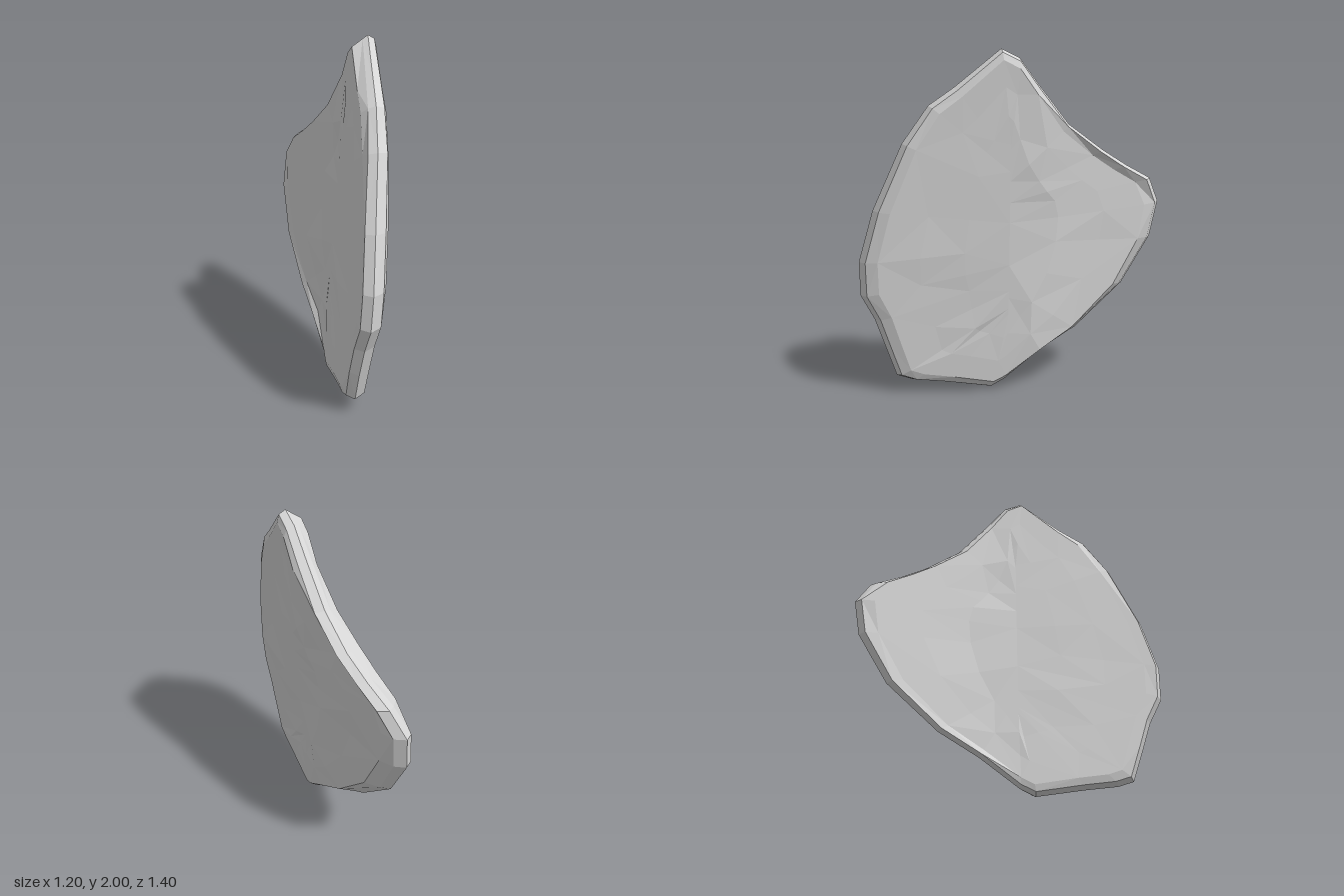
import * as THREE from 'three';

// Slab outline, clockwise seen from the front: along, height, front depth, back depth
const OUTLINE = [
  [0.10, 2.00, -0.16, -0.25], [0.345, 1.79, -0.11, -0.22], [0.48, 1.69, -0.08, -0.20],
  [0.62, 1.48, -0.04, -0.18], [0.78, 1.10, 0.02, -0.13], [0.86, 0.80, 0.05, -0.10],
  [0.855, 0.60, 0.06, -0.09], [0.78, 0.45, 0.07, -0.08], [0.725, 0.28, 0.08, -0.07],
  [0.665, 0.10, 0.08, -0.06], [0.58, 0.07, 0.08, -0.07], [0.40, 0.045, 0.07, -0.07],
  [0.14, 0.00, 0.06, -0.07], [0.06, 0.04, 0.05, -0.06], [-0.16, 0.20, 0.07, -0.03],
  [-0.38, 0.33, 0.09, 0.00], [-0.66, 0.59, 0.12, 0.00], [-0.825, 0.88, 0.12, -0.02],
  [-0.86, 1.10, 0.09, -0.05], [-0.785, 1.25, 0.02, -0.11], [-0.63, 1.335, -0.03, -0.15],
  [-0.48, 1.43, -0.07, -0.19], [-0.28, 1.58, -0.10, -0.22], [-0.11, 1.80, -0.13, -0.24],
  [0.00, 1.95, -0.15, -0.25],
];

// Scale, front-to-back share and roughness of each ring, from the front over the rim to the back
const RINGS = [
  [0, 0, 0], [0.3, 0, 0.01], [0.6, 0, 0.01], [0.88, 0, 0], [0.96, 0.1, 0], [1, 0.42, 0],
  [0.96, 0.85, 0], [0.88, 1, 0], [0.6, 1, 0.01], [0.3, 1, 0.01], [0, 1, 0],
];
const COS = 0.622, SIN = 0.783;

// Depth of the two broad faces: parallel leaning planes, bent forward along the side lobe
function faceDepth(u, y, side) {
  const lobe = 0.25 * Math.max(0, -u - 0.1);
  return 0.061 * u - 0.085 * y + 0.05 - 0.14 * side + lobe;
}

function createSlabGeometry() {
  let seed = 7;
  const jitter = (size) => {
    seed = (seed * 16807) % 2147483647;
    return (seed / 2147483647 - 0.5) * size;
  };
  const mix = THREE.MathUtils.lerp;
  const positions = [], indices = [], n = OUTLINE.length;

  for (const [scale, side, rough] of RINGS) {
    for (const [along, height, front, back] of OUTLINE) {
      // Each outline point shrinks towards an upright spine
      const u = mix(0.05, 0.05 + (along - 0.05) * 1.05, scale);
      const y = mix(mix(0.95, height, 0.5), height, scale);
      const onRim = scale > 0.9;
      const d = (onRim ? mix(front, back, side) : faceDepth(u, y, side)) + jitter(rough);
      // Turn the slab to lie diagonally across the frame
      positions.push(COS * u - SIN * d, y, SIN * u + COS * d);
    }
  }
  for (let r = 0; r < RINGS.length - 1; r++) {
    for (let i = 0; i < n; i++) {
      const a = r * n + i, b = r * n + (i + 1) % n, c = a + n, d = b + n;
      if ((i + r) % 2) indices.push(a, b, c, b, d, c);
      else indices.push(a, d, c, a, b, d);
    }
  }
  const indexed = new THREE.BufferGeometry();
  indexed.setAttribute('position', new THREE.Float32BufferAttribute(positions, 3));
  indexed.setIndex(indices);
  const geometry = indexed.toNonIndexed();
  geometry.computeVertexNormals();
  return geometry;
}

export function createModel() {
  const group = new THREE.Group();
  group.name = 'standingStone';
  const stone = new THREE.MeshStandardMaterial({ color: 0xd6d6d6, flatShading: true });
  stone.name = 'stone grey';
  const slab = new THREE.Mesh(createSlabGeometry(), stone);
  slab.name = 'stoneSlab';
  group.add(slab);
  return group;
}
